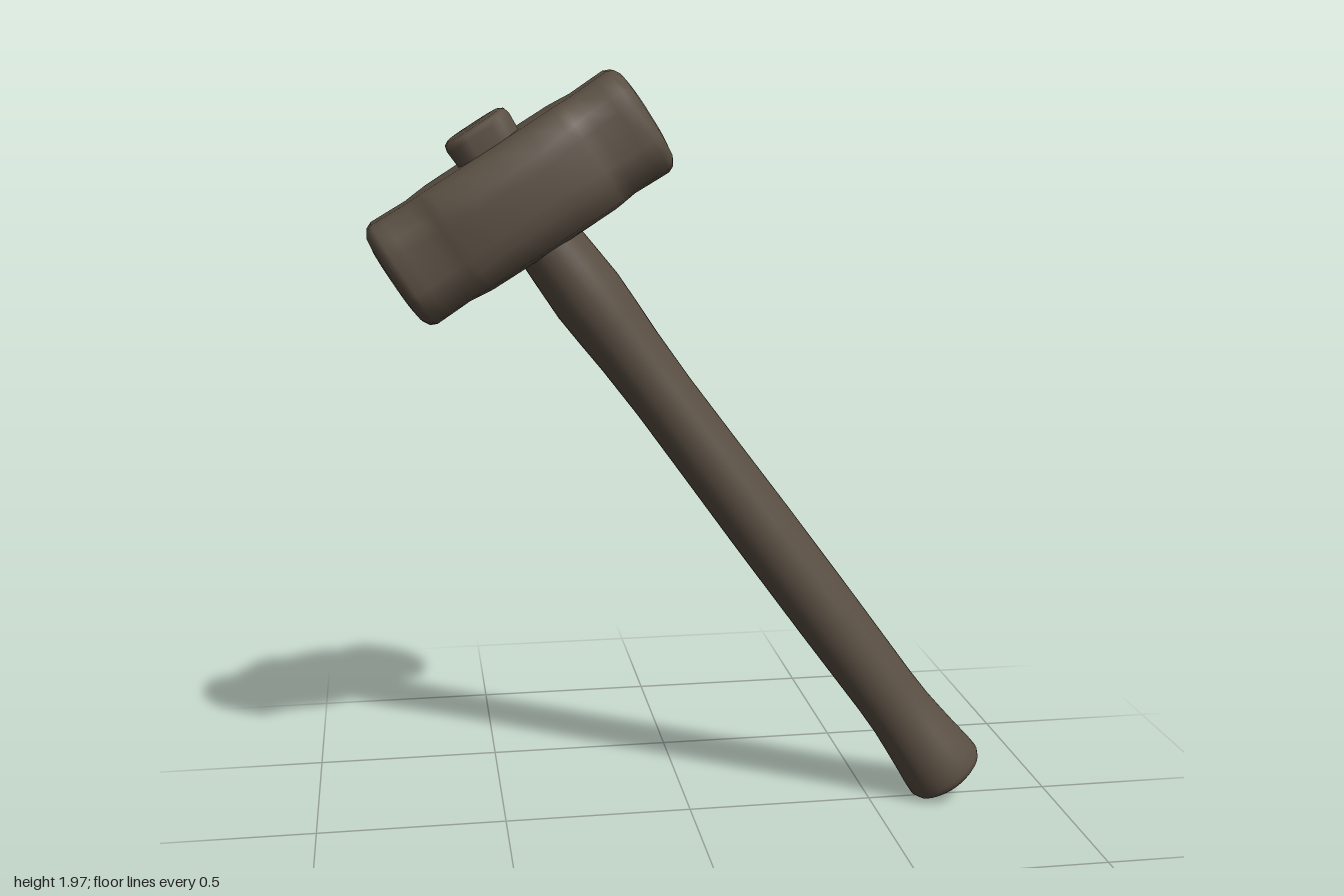
import * as THREE from 'three';

// Closed loft: every ring is { t, pts } with pts counter-clockwise about the axis;
// place(t, a, b) sends a ring point to model space.
function loft(rings, place) {
  const n = rings[0].pts.length, pos = [], idx = [];
  rings.forEach(r => r.pts.forEach(([a, b]) => pos.push(...place(r.t, a, b))));
  for (let i = 0; i < rings.length - 1; i++) {
    for (let j = 0; j < n; j++) {
      const a = i * n + j, b = i * n + (j + 1) % n;
      idx.push(a, b, b + n, a, b + n, a + n);
    }
  }
  const last = rings.length - 1, s = rings.length * n, e = s + 1;
  pos.push(...place(rings[0].t, 0, 0), ...place(rings[last].t, 0, 0));
  for (let j = 0; j < n; j++) {
    const k = (j + 1) % n;
    idx.push(s, k, j, e, last * n + j, last * n + k);
  }
  const g = new THREE.BufferGeometry();
  g.setAttribute('position', new THREE.Float32BufferAttribute(pos, 3));
  g.setIndex(idx);
  g.computeVertexNormals();
  return g;
}

// Chamfered rectangle with softened corners: half sizes p, q and chamfers cp, cq
function octagon(p, q, cp, cq) {
  const c = [[p, -q + cq], [p, q - cq], [p - cp, q], [-p + cp, q],
    [-p, q - cq], [-p, -q + cq], [-p + cp, -q], [p - cp, -q]];
  const out = [];
  c.forEach((v, i) => {
    const w = c[(i + 1) % 8];
    for (const f of [0.18, 0.82]) out.push([v[0] + (w[0] - v[0]) * f, v[1] + (w[1] - v[1]) * f]);
  });
  return out;
}

function ellipse(ra, rb, n = 32) {
  return Array.from({ length: n }, (_, i) => {
    const u = i / n * Math.PI * 2;
    return [ra * Math.cos(u), rb * Math.sin(u)];
  });
}

const alongX = (t, a, b) => [t, a, b];
const alongY = (t, a, b) => [b, t, a];

export function createModel() {
  const model = new THREE.Group();
  const mat = new THREE.MeshStandardMaterial({ color: 0x5a4f43 });
  mat.name = 'dark weathered brown';
  const add = (parent, name, geo) => {
    const m = new THREE.Mesh(geo, mat);
    m.name = name;
    parent.add(m);
  };

  // Head: chamfered striking ends, wider cheeks in the middle
  const head = new THREE.Group();
  head.name = 'head';
  head.position.set(-0.43, 1.683, 0);
  head.rotation.z = THREE.MathUtils.degToRad(32.2);
  model.add(head);

  // distance from centre, half height, half depth, chamfer in height, chamfer in depth
  const half = [
    [0, 0.146, 0.161, 0.085, 0.03],
    [0.1, 0.146, 0.157, 0.085, 0.03],
    [0.18, 0.146, 0.147, 0.075, 0.03],
    [0.205, 0.145, 0.14, 0.07, 0.038],
    [0.245, 0.143, 0.131, 0.065, 0.06],
    [0.31, 0.145, 0.131, 0.065, 0.06],
    [0.345, 0.146, 0.131, 0.067, 0.062],
    [0.362, 0.139, 0.124, 0.066, 0.061],
    [0.373, 0.122, 0.107, 0.06, 0.055],
    [0.378, 0.09, 0.08, 0.045, 0.04],
    [0.38, 0.03, 0.026, 0.015, 0.013],
  ];
  const stations = [...half.slice(1).reverse().map(([t, ...r]) => [-t, ...r]), ...half];
  add(head, 'hammerHead', loft(
    stations.map(([t, hy, hz, cy, cz]) => ({ t, pts: octagon(hy, hz, cy, cz) })), alongX));

  // Handle end standing out of the top of the head
  const tip = [[0.1, 0.086], [0.14, 0.087], [0.19, 0.09], [0.204, 0.086], [0.211, 0.074], [0.213, 0.03]];
  add(head, 'handleTip', loft(
    tip.map(([t, r]) => ({ t, pts: octagon(r * 0.97, r, r * 0.42, r * 0.42) })), alongY));

  // Handle: oval shaft, swelling below the head and flaring at the butt
  const shaft = new THREE.Group();
  shaft.name = 'handle';
  shaft.position.set(0.725, 0.073, 0);
  shaft.rotation.z = THREE.MathUtils.degToRad(36);
  model.add(shaft);

  // height, half width, half depth
  const profile = [
    [-0.005, 0.04, 0.04], [0, 0.088, 0.085], [0.008, 0.102, 0.097], [0.025, 0.11, 0.104],
    [0.06, 0.108, 0.105], [0.11, 0.102, 0.102], [0.17, 0.096, 0.094], [0.24, 0.09, 0.087],
    [0.32, 0.088, 0.086], [0.6, 0.089, 0.091], [0.9, 0.088, 0.092], [1.15, 0.085, 0.091],
    [1.35, 0.083, 0.09], [1.5, 0.086, 0.095], [1.6, 0.091, 0.101], [1.68, 0.094, 0.106],
    [1.76, 0.09, 0.104], [1.83, 0.086, 0.1], [1.95, 0.084, 0.095],
  ];
  add(shaft, 'handleShaft', loft(
    profile.map(([t, rx, rz]) => ({ t, pts: ellipse(rz, rx) })), alongY));

  return model;
}
